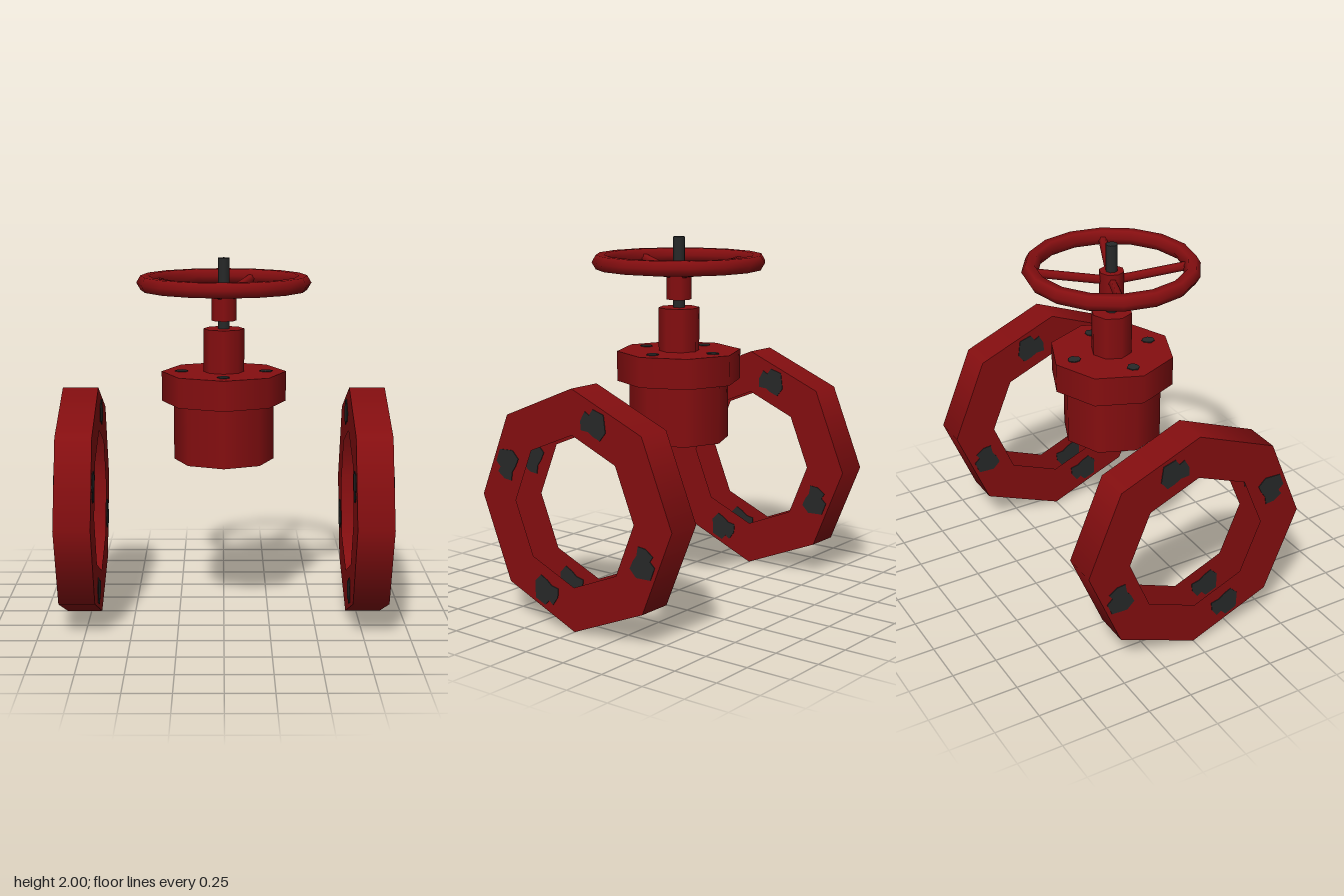
import * as THREE from 'three';

const red = new THREE.MeshStandardMaterial({ color: 0x850e10, side: THREE.DoubleSide });
red.name = 'valve red';
const steel = new THREE.MeshStandardMaterial({ color: 0x272929 });
steel.name = 'dark steel';

function add(parent, name, geometry, material) {
  const mesh = new THREE.Mesh(geometry, material);
  mesh.name = name;
  parent.add(mesh);
  return mesh;
}

// Upright eight-sided cylinder between two heights
function drum(parent, name, radius, y0, y1, material, open = false, sides = 8) {
  const geometry = new THREE.CylinderGeometry(radius, radius, y1 - y0, sides, 1, open);
  geometry.translate(0, (y0 + y1) / 2, 0);
  return add(parent, name, geometry, material);
}

// Thin worn bolt face, centred on its own plane
function boltPlate(outline, scale) {
  const shape = new THREE.Shape(outline.map(([x, y]) => new THREE.Vector2(x * scale, y * scale)));
  const geometry = new THREE.ExtrudeGeometry(shape, { depth: 0.008, bevelEnabled: false });
  return geometry.translate(0, 0, -0.004);
}

const wornNut = [[-1, 0.2], [-1, -0.4], [-0.4, -0.45], [0, -0.7], [0.55, -0.9],
  [1, -0.35], [0.85, 0.75], [0, 1], [-0.3, 0.6], [-0.65, 0.8]];
const smallNut = [[-0.9, 0.3], [-0.9, -0.3], [-0.1, -1], [0.75, -0.6], [1, 0.2], [0.4, 0.8], [-0.4, 0.8]];

// Hollow pipe flange: outer wall and two ring faces, open towards the bore
function pipeFlange(name, x) {
  const group = new THREE.Group();
  group.name = name;
  const half = 0.0975;
  const wall = new THREE.CylinderGeometry(0.643, 0.643, half * 2, 8, 1, true);
  add(group, 'flangeWall', wall.rotateX(Math.PI / 2).rotateZ(Math.PI / 2), red);
  const plate = boltPlate(wornNut, 0.082);
  for (const side of [-1, 1]) {
    const face = add(group, 'flangeFace', new THREE.RingGeometry(0.403, 0.643, 8, 1), red);
    face.position.z = side * half;
    if (side < 0) face.rotation.y = Math.PI;
    for (const degrees of [73, 157.5, 247, 337.5]) {
      const a = THREE.MathUtils.degToRad(degrees);
      const bolt = add(group, 'flangeBolt', plate, steel);
      bolt.position.set(0.493 * Math.cos(a), 0.493 * Math.sin(a), side * half);
      bolt.rotation.z = a - THREE.MathUtils.degToRad(73);
    }
  }
  group.rotation.y = Math.PI / 2;
  group.position.set(x, 0.646, 0);
  return group;
}

// Bonnet with its collar, collar bolts and neck
function bonnet() {
  const group = new THREE.Group();
  group.name = 'bonnet';
  drum(group, 'bonnetBody', 0.275, 0.89, 1.216, red, true);
  drum(group, 'bonnetCollar', 0.341, 1.216, 1.38, red);
  drum(group, 'neck', 0.112, 1.38, 1.616, red);
  const plate = boltPlate(smallNut, 0.037).rotateX(-Math.PI / 2);
  for (let i = 0; i < 4; i++) {
    const a = i * Math.PI / 2;
    const bolt = add(group, 'collarBolt', plate, steel);
    bolt.position.set(0.23 * Math.cos(a), 1.381, -0.23 * Math.sin(a));
    bolt.rotation.y = a;
  }
  return group;
}

// Handwheel: hexagonal rim, hub and four rising spokes
function handwheel() {
  const group = new THREE.Group();
  group.name = 'handwheel';
  const rim = new THREE.TorusGeometry(0.43, 0.045, 6, 16);
  rim.rotateX(Math.PI / 2).translate(0, 1.866, 0);
  add(group, 'rim', rim, red);
  drum(group, 'hub', 0.068, 1.66, 1.85, red);
  const start = new THREE.Vector3(0.03, 1.797, 0);
  const end = new THREE.Vector3(0.41, 1.858, 0);
  const path = new THREE.LineCurve3(start, end);
  const spoke = new THREE.TubeGeometry(path, 1, 0.024, 6, false);
  for (let i = 0; i < 4; i++) {
    add(group, 'spoke', spoke, red).rotation.y = THREE.MathUtils.degToRad(67 + 90 * i);
  }
  return group;
}

export function createModel() {
  const model = new THREE.Group();
  model.name = 'gateValve';
  model.add(pipeFlange('leftFlange', 0.788), pipeFlange('rightFlange', -0.788));
  model.add(bonnet(), handwheel());
  drum(model, 'stem', 0.032, 1.6, 2, steel);
  return model;
}
